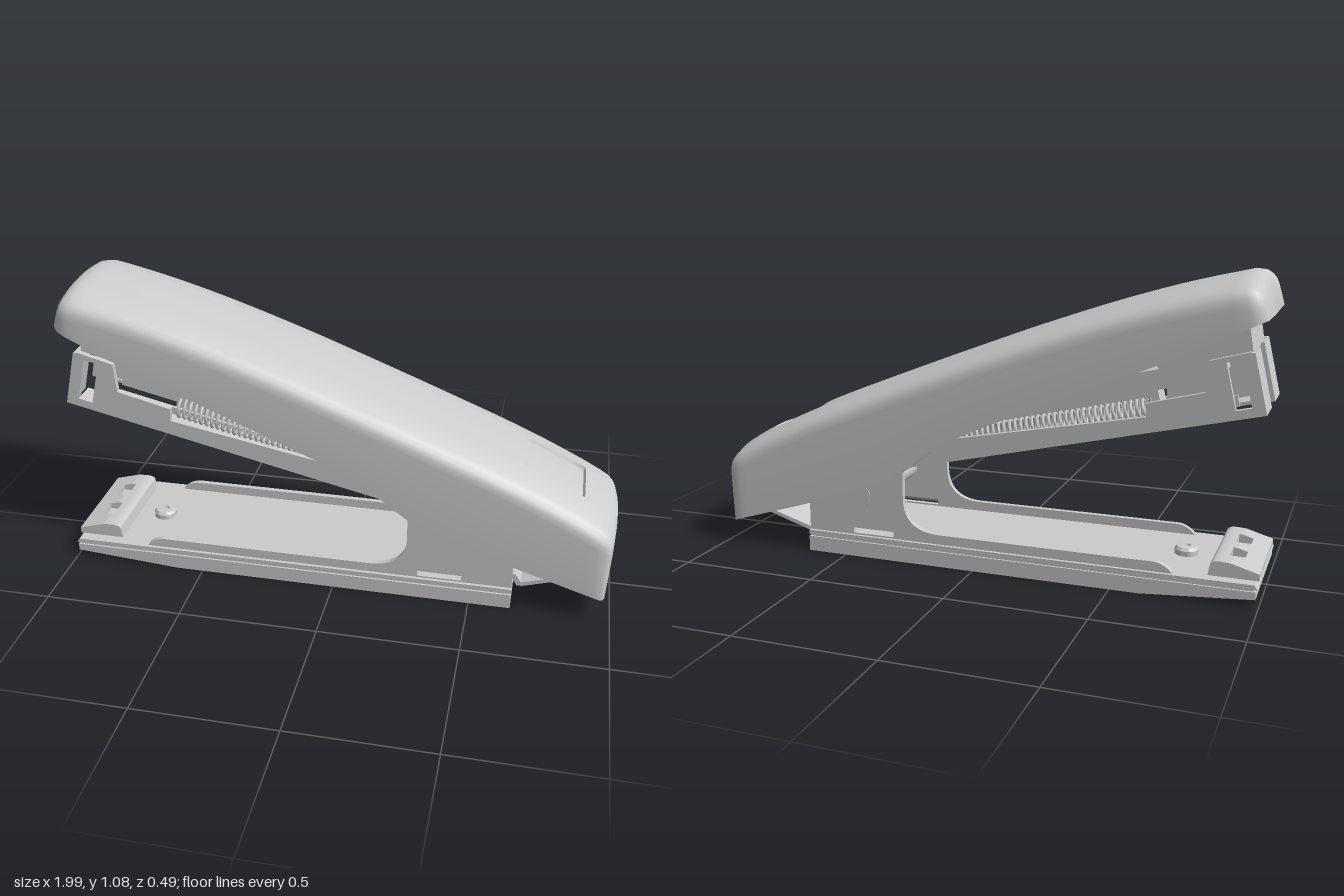
import * as THREE from 'three';
import { toCreasedNormals } from 'three/addons/utils/BufferGeometryUtils.js';

const material = new THREE.MeshStandardMaterial({ color: 0xcccccc, side: THREE.DoubleSide });

function add(parent, name, geometry) {
  const mesh = new THREE.Mesh(geometry, material);
  mesh.name = name;
  parent.add(mesh);
  return mesh;
}

// Points are [x, y], or [cx, cy, x, y] for a curve
function trace(path, points) {
  points.forEach((p, i) => {
    if (i === 0) path.moveTo(p[0], p[1]);
    else if (p.length === 4) path.quadraticCurveTo(...p);
    else path.lineTo(p[0], p[1]);
  });
  path.closePath();
  return path;
}

// Side profile extruded from z0 to z1
function slab(points, z0, z1, holes = []) {
  const shape = trace(new THREE.Shape(), points);
  shape.holes = holes.map((h) => trace(new THREE.Path(), h));
  const geo = new THREE.ExtrudeGeometry(shape, { depth: z1 - z0, bevelEnabled: false, curveSegments: 12 });
  return geo.translate(0, 0, z0);
}

const rect = (x0, y0, x1, y1) => [[x0, y0], [x1, y0], [x1, y1], [x0, y1]];

// The same profile on both sides
function pair(parent, name, points, z0, z1, holes) {
  add(parent, name + 'Left', slab(points, z0, z1, holes));
  add(parent, name + 'Right', slab(points, -z1, -z0, holes));
}

function smoothCurve(points) {
  const curve = new THREE.CubicInterpolant(points.map((p) => p[0]), points.map((p) => p[1]), 1, new Float32Array(1));
  return (x) => curve.evaluate(x)[0];
}

// Curved hollow cover lofted from nose to heel
function coverGeometry() {
  const top = smoothCurve([[-0.905, 1.083], [-0.7, 1.033], [-0.47, 0.964], [-0.2, 0.87], [0, 0.794],
    [0.33, 0.664], [0.66, 0.528], [0.8, 0.462], [0.87, 0.427], [0.93, 0.394]]);
  const bottom = smoothCurve([[-0.93, 0.92], [-0.63, 0.78], [-0.31, 0.645], [0, 0.51], [0.115, 0.45],
    [0.2, 0.388], [0.265, 0.337], [0.33, 0.295], [0.42, 0.262], [0.65, 0.185], [0.93, 0.097]]);
  const xs = [];
  for (let i = 0; i <= 50; i++) xs.push(-0.87 + i * 0.03);
  xs.push(0.66, 0.668, 0.7, 0.74, 0.78, 0.82, 0.865, 0.873, 0.9);
  // Stations: bottom x, bottom y, top x, top y, half width
  const stations = [
    [-0.995, 0.955, -0.965, 1.045, 0], [-0.994, 0.952, -0.96, 1.055, 0.13],
    [-0.985, 0.945, -0.95, 1.07, 0.215], [-0.965, 0.937, -0.935, 1.08, 0.238],
    [-0.93, 0.92, -0.905, 1.083, 0.245],
    ...xs.map((x) => [x, bottom(x), x, top(x), 0.245]),
    [0.93, 0.097, 0.93, 0.394, 0.245], [0.955, 0.088, 0.96, 0.376, 0.243],
    [0.967, 0.083, 0.978, 0.36, 0.235], [0.974, 0.081, 0.987, 0.347, 0.215],
    [0.98, 0.081, 0.994, 0.336, 0.12], [0.982, 0.082, 0.996, 0.33, 0],
  ];
  // Crown: share of half width, drop below the ridge
  const crown = [[1, 0.1], [0.99, 0.075], [0.95, 0.054], [0.88, 0.041], [0.8, 0.032], [0.6, 0.016],
    [0.43, 0.008], [0.4, 0.008], [0.2, 0.002], [0, 0]];
  const positions = [], index = [];
  let n = 0;
  stations.forEach(([xb, yb, xt, yt, w], i) => {
    const height = yt - yb;
    const half = [[0.91, 0.05], [0.91, 0], [1, 0]];
    crown.forEach(([zn, drop]) => {
      const dent = xt > 0.664 && xt < 0.87 && zn <= 0.4 ? 0.013 : 0;
      half.push([zn, height - drop * w / 0.245 - dent]);
    });
    const ring = [...half, ...half.slice(0, -1).reverse().map(([z, h]) => [-z, h])];
    n = ring.length;
    ring.forEach(([z, h]) => {
      const t = h / height;
      positions.push(xb + (xt - xb) * t, yb + h, z * w);
    });
    if (i === 0) return;
    for (let j = 0; j < n - 1; j++) {
      const a = (i - 1) * n + j, b = i * n + j;
      index.push(a, b, a + 1, b, b + 1, a + 1);
    }
  });
  const geo = new THREE.BufferGeometry();
  geo.setAttribute('position', new THREE.Float32BufferAttribute(positions, 3));
  geo.setIndex(index);
  return toCreasedNormals(geo, 0.95);
}

function buildBase() {
  const base = new THREE.Group();
  base.name = 'base';
  add(base, 'basePad', slab([[-0.99, 0.03], [-0.6, 0], [0.65, 0], [0.65, 0.056], [-0.99, 0.056]], -0.232, 0.232));
  add(base, 'baseSeam', slab(rect(-0.98, 0.056, 0.64, 0.063), -0.225, 0.225));
  add(base, 'basePlate', slab([[-0.995, 0.063], [0.65, 0.063], [0.65, 0.08], [-0.985, 0.08]], -0.232, 0.232));

  // Low rails that sweep up into the hinge cheeks
  const cheek = [[-0.71, 0.075], [0.65, 0.075], [0.65, 0.3], [0.55, 0.4], [0.27, 0.4], [0.27, 0.23],
    [0.265, 0.12, 0.14, 0.115], [-0.65, 0.115], [-0.68, 0.113, -0.71, 0.085]];
  pair(base, 'hingeCheek', cheek, 0.2, 0.22, [rect(0.31, 0.086, 0.47, 0.106)]);
  const pin = add(base, 'hingePin', new THREE.CylinderGeometry(0.045, 0.045, 0.446, 28));
  pin.rotation.x = Math.PI / 2;
  pin.position.set(0.445, 0.23, 0);

  // Anvil with two staple-forming pockets
  const hump = [[-0.995, 0.08], [-0.825, 0.08], [-0.832, 0.12], [-0.838, 0.133, -0.87, 0.132], [-0.9, 0.13], [-0.995, 0.103]];
  const rearLip = [[-0.885, 0.08], [-0.825, 0.08], [-0.832, 0.12], [-0.838, 0.133, -0.87, 0.132], [-0.885, 0.131]];
  pair(base, 'anvilShoulder', hump, 0.115, 0.19);
  add(base, 'anvilCentre', slab(hump, -0.03, 0.03));
  pair(base, 'anvilPocketFloor', rect(-0.95, 0.08, -0.86, 0.1), 0.03, 0.115);
  pair(base, 'anvilFrontLip', [[-0.995, 0.08], [-0.935, 0.08], [-0.935, 0.12], [-0.995, 0.103]], 0.03, 0.115);
  pair(base, 'anvilRearLip', rearLip, 0.03, 0.115);

  // Anvil pivot button
  const button = add(base, 'anvilButton', toCreasedNormals(new THREE.LatheGeometry(
    [[0.042, 0], [0.042, 0.018], [0.034, 0.028], [0.015, 0.03], [0.012, 0.022], [0, 0.022]]
      .map(([x, y]) => new THREE.Vector2(x, y)), 28), 0.6));
  button.position.set(-0.72, 0.08, 0);

  // Bent return spring under the heel
  add(base, 'returnSpring', slab([[0.5, 0.08], [0.645, 0.08], [0.665, 0.048], [0.685, 0.048], [0.91, 0.118],
    [0.905, 0.13], [0.68, 0.063], [0.66, 0.095], [0.5, 0.095]], -0.155, 0.155));
  return base;
}

// Staple magazine, built level and then tilted
function buildMagazine() {
  const magazine = new THREE.Group();
  magazine.name = 'magazine';
  const wall = [[0, 0], [1.45, 0], [1.45, 0.085], [1.09, 0.08], [0.388, 0.054], [0.38, 0.1], [0.18, 0.104],
    [0.148, 0.205], [0.018, 0.21], [0, 0.205]];
  pair(magazine, 'magazineWall', wall, 0.16, 0.18, [rect(0.042, 0.03, 0.095, 0.19)]);
  pair(magazine, 'magazineFloor', rect(0.03, 0, 1.45, 0.012), 0.06, 0.17);
  pair(magazine, 'magazineInnerLip', rect(0.12, 0, 1.45, 0.04), 0.05, 0.062);
  pair(magazine, 'frontTab', rect(0, 0, 0.016, 0.205), 0.05, 0.165);
  // Driver head filling the gap below the nose
  add(magazine, 'driverHead', slab([[0.012, 0.2], [0.32, 0.19], [0.34, 0.24], [0.006, 0.3]], -0.14, 0.14));
  add(magazine, 'topRail', slab(rect(0.14, 0.13, 1.4, 0.198), -0.13, 0.13));
  add(magazine, 'railCore', slab(rect(0.365, 0.03, 1.4, 0.135), -0.045, 0.045));

  // Pusher springs on both sides of the rail core
  const coil = [];
  const turns = 34;
  for (let i = 0; i <= turns * 10; i++) {
    const a = (i / 10) * Math.PI * 2;
    coil.push(new THREE.Vector3(0.39 + 0.72 * i / (turns * 10), 0.066 + 0.034 * Math.cos(a), 0.034 * Math.sin(a)));
  }
  const spring = new THREE.TubeGeometry(new THREE.CatmullRomCurve3(coil), turns * 12, 0.006, 5);
  for (const [side, z] of [['Left', 0.09], ['Right', -0.09]]) {
    add(magazine, 'pusherSpring' + side, spring).position.z = z;
  }

  magazine.position.set(-0.99, 0.635, 0);
  magazine.rotation.z = -0.229;
  return magazine;
}

export function createModel() {
  const model = new THREE.Group();
  model.name = 'stapler';
  add(model, 'topCover', coverGeometry());
  model.add(buildBase(), buildMagazine());
  return model;
}
